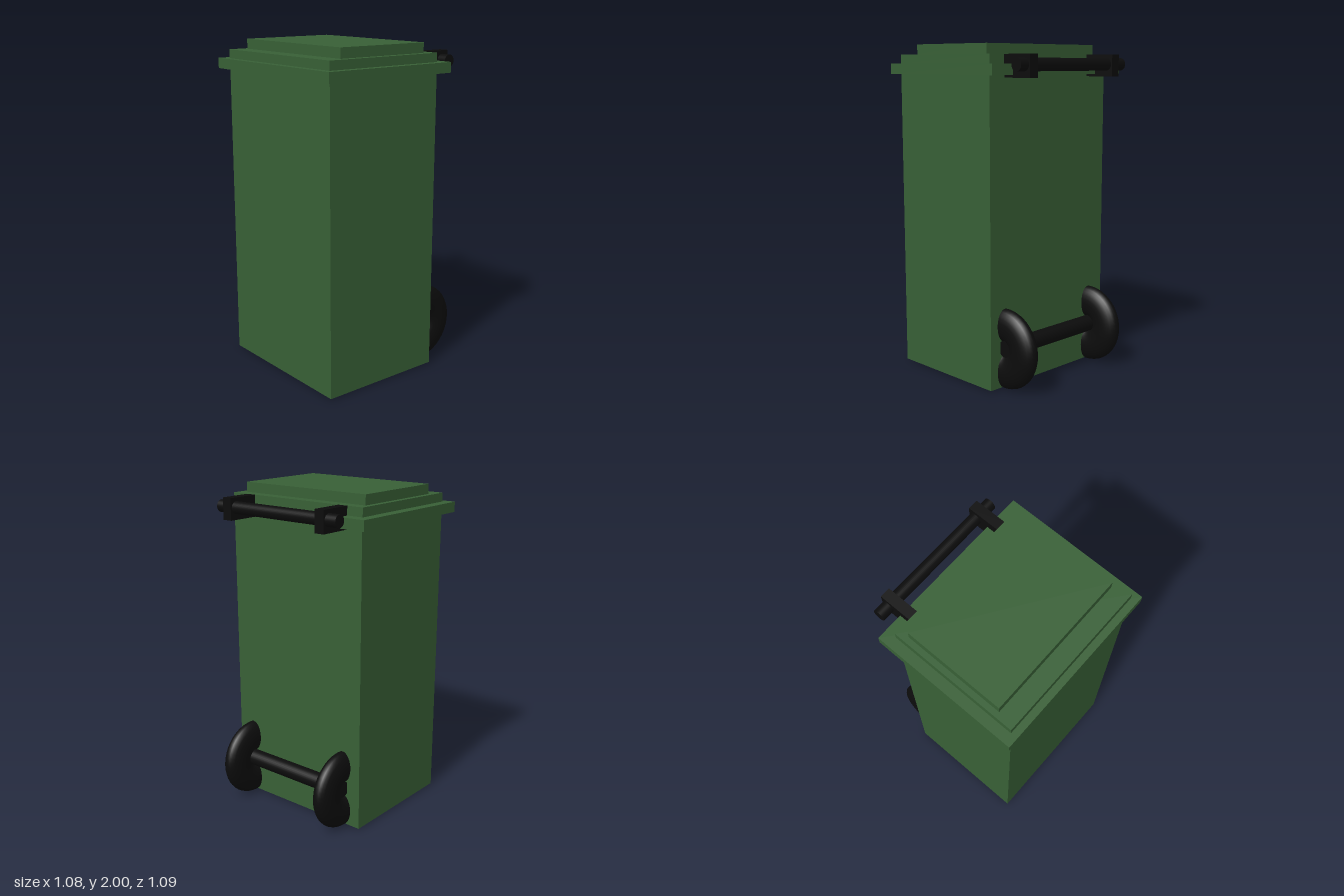
import * as THREE from 'three';

const green = new THREE.MeshStandardMaterial({ color: 0x386036 });
const black = new THREE.MeshStandardMaterial({ color: 0x0c0c0c });

export function createModel() {
  const model = new THREE.Group();
  model.name = 'wheeledBin';

  const add = (name, geometry, material) => {
    const mesh = new THREE.Mesh(geometry, material);
    mesh.name = name;
    model.add(mesh);
    return mesh;
  };

  // Box given by its extents along each axis
  const box = (name, material, [x0, x1], [y0, y1], [z0, z1]) =>
    add(name, new THREE.BoxGeometry(x1 - x0, y1 - y0, z1 - z0), material)
      .position.set((x0 + x1) / 2, (y0 + y1) / 2, (z0 + z1) / 2);

  // Round bar running along z
  const bar = (name, radius, x, y, [z0, z1]) => {
    const geometry = new THREE.CylinderGeometry(radius, radius, z1 - z0, 32).rotateX(Math.PI / 2);
    add(name, geometry, black).position.set(x, y, (z0 + z1) / 2);
  };

  // Container and stepped lid
  box('body', green, [-0.5, 0.288], [0.01, 1.825], [-0.477, 0.497]);
  box('lidRim', green, [-0.542, 0.357], [1.825, 1.887], [-0.542, 0.543]);
  box('lidStep', green, [-0.5, 0.288], [1.887, 1.94], [-0.48, 0.497]);
  box('lidTop', green, [-0.393, 0.22], [1.94, 2.0], [-0.447, 0.455]);

  // Handle: two arms clasping the rim, joined by a round grip
  for (const z of [-0.343, 0.354]) {
    box('handleArm', black, [0.287, 0.488], [1.81, 1.94], [z - 0.031, z + 0.031]);
  }
  bar('handleGrip', 0.037, 0.443, 1.882, [-0.447, 0.445]);

  // Axle and fat ring wheels, part of each sunk into the body
  bar('axle', 0.05, 0.323, 0.253, [-0.385, 0.42]);
  for (const z of [-0.352, 0.384]) {
    const wheel = add('wheel', new THREE.TorusGeometry(0.141, 0.099, 24, 48), black);
    wheel.scale.z = 0.6;
    wheel.position.set(0.3, 0.244, z);
  }

  return model;
}
